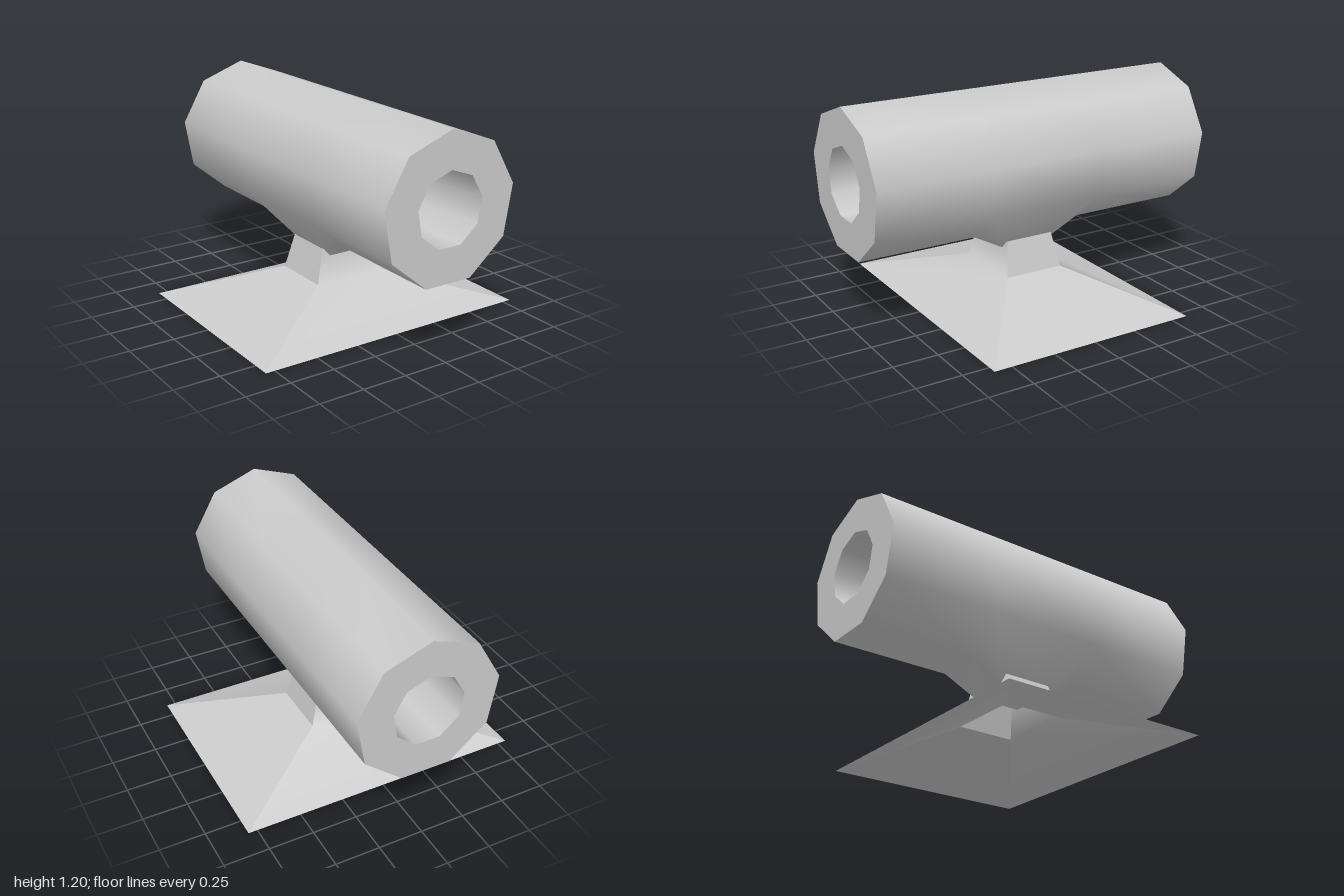
import * as THREE from 'three';
import { toCreasedNormals } from 'three/addons/utils/BufferGeometryUtils.js';

const SIDES = 9, AXIS_Y = 0.8, OUTER = 0.4, INNER = 0.2, HALF = 1, SADDLE_Z = 0.33;

// Point k on a nine-sided ring, corner at the top, running towards +x
function ring(k, radius, z) {
  const a = (k * 2 * Math.PI) / SIDES;
  return [radius * Math.sin(a), AXIS_Y + radius * Math.cos(a), z];
}

// Collects convex faces as triangle fans
function faceBuilder() {
  const positions = [];
  return {
    face(...pts) {
      for (let i = 1; i < pts.length - 1; i++) positions.push(...pts[0], ...pts[i], ...pts[i + 1]);
    },
    build() {
      const g = new THREE.BufferGeometry();
      g.setAttribute('position', new THREE.Float32BufferAttribute(positions, 3));
      g.computeVertexNormals();
      return g;
    },
  };
}

// Thick tube whose underside is drawn down into a saddle
function tubeGeometry() {
  const { face, build } = faceBuilder();
  const stations = [HALF, SADDLE_Z, -SADDLE_Z, -HALF];
  for (let k = 0; k < SIDES; k++) {
    // outer wall, left open where the saddle joins
    for (let s = 0; s < 3; s++) {
      if (s === 1 && k >= 3 && k <= 5) continue;
      const a = stations[s], b = stations[s + 1];
      face(ring(k, OUTER, a), ring(k + 1, OUTER, a), ring(k + 1, OUTER, b), ring(k, OUTER, b));
    }
    // bore
    face(ring(k, INNER, HALF), ring(k, INNER, -HALF), ring(k + 1, INNER, -HALF), ring(k + 1, INNER, HALF));
    // end faces
    for (const e of [1, -1]) {
      const z = e * HALF;
      const cap = [ring(k, OUTER, z), ring(k, INNER, z), ring(k + 1, INNER, z), ring(k + 1, OUTER, z)];
      face(...(e > 0 ? cap : cap.reverse()));
    }
  }
  // saddle
  const foot = (sx, sz) => [sx * 0.12, 0.325, sz * 0.15];
  const rim = (k, sz) => ring(k, OUTER, sz * SADDLE_Z);
  for (const s of [1, -1]) {
    const front = [rim(4, s), rim(5, s), foot(-1, s), foot(1, s)];
    const cornerL = [rim(3, s), rim(4, s), foot(1, s)];
    const cornerR = [rim(5, s), rim(6, s), foot(-1, s)];
    for (const f of [front, cornerL, cornerR]) face(...(s > 0 ? f : f.reverse()));
    const k = s > 0 ? 3 : 6;
    face(rim(k, s), foot(s, s), foot(s, -s), rim(k, -s));
  }
  face(foot(1, 1), foot(-1, 1), foot(-1, -1), foot(1, -1));
  return toCreasedNormals(build(), THREE.MathUtils.degToRad(60));
}

// Half-sizes of the stand from the ground up: x, y, z
const LEVELS = [[0.8, 0, 0.6], [0.213, 0.18, 0.17], [0.163, 0.37, 0.14]];

// Front panel: flared foot blending smoothly into the neck
function frontPanelGeometry() {
  const g = new THREE.BufferGeometry();
  const pts = LEVELS.flatMap(([x, y, z]) => [-x, y, z, x, y, z]);
  g.setAttribute('position', new THREE.Float32BufferAttribute(pts, 3));
  g.setIndex([0, 1, 3, 0, 3, 2, 2, 3, 5, 2, 5, 4]);
  g.computeVertexNormals();
  return g;
}

// Side panel: foot and neck meet in a sharp edge
function sidePanelGeometry() {
  const { face, build } = faceBuilder();
  for (let i = 0; i < 2; i++) {
    const [x0, y0, z0] = LEVELS[i], [x1, y1, z1] = LEVELS[i + 1];
    face([x0, y0, z0], [x0, y0, -z0], [x1, y1, -z1], [x1, y1, z1]);
  }
  return build();
}

export function createModel() {
  const group = new THREE.Group();
  group.name = 'tubeOnStand';
  const solid = new THREE.MeshStandardMaterial({ color: 0xcccccc });
  const shell = new THREE.MeshStandardMaterial({ color: 0xcccccc, side: THREE.DoubleSide });

  const tube = new THREE.Mesh(tubeGeometry(), solid);
  tube.name = 'tubeWithSaddle';
  group.add(tube);

  // Hollow stand, open underneath
  const stand = new THREE.Group();
  stand.name = 'stand';
  const panels = { FrontPanel: frontPanelGeometry(), SidePanel: sidePanelGeometry() };
  for (const [name, geometry] of Object.entries(panels)) {
    for (const turn of [0, Math.PI]) {
      const panel = new THREE.Mesh(geometry, shell);
      panel.name = 'stand' + name;
      panel.rotation.y = turn;
      stand.add(panel);
    }
  }
  group.add(stand);
  return group;
}
